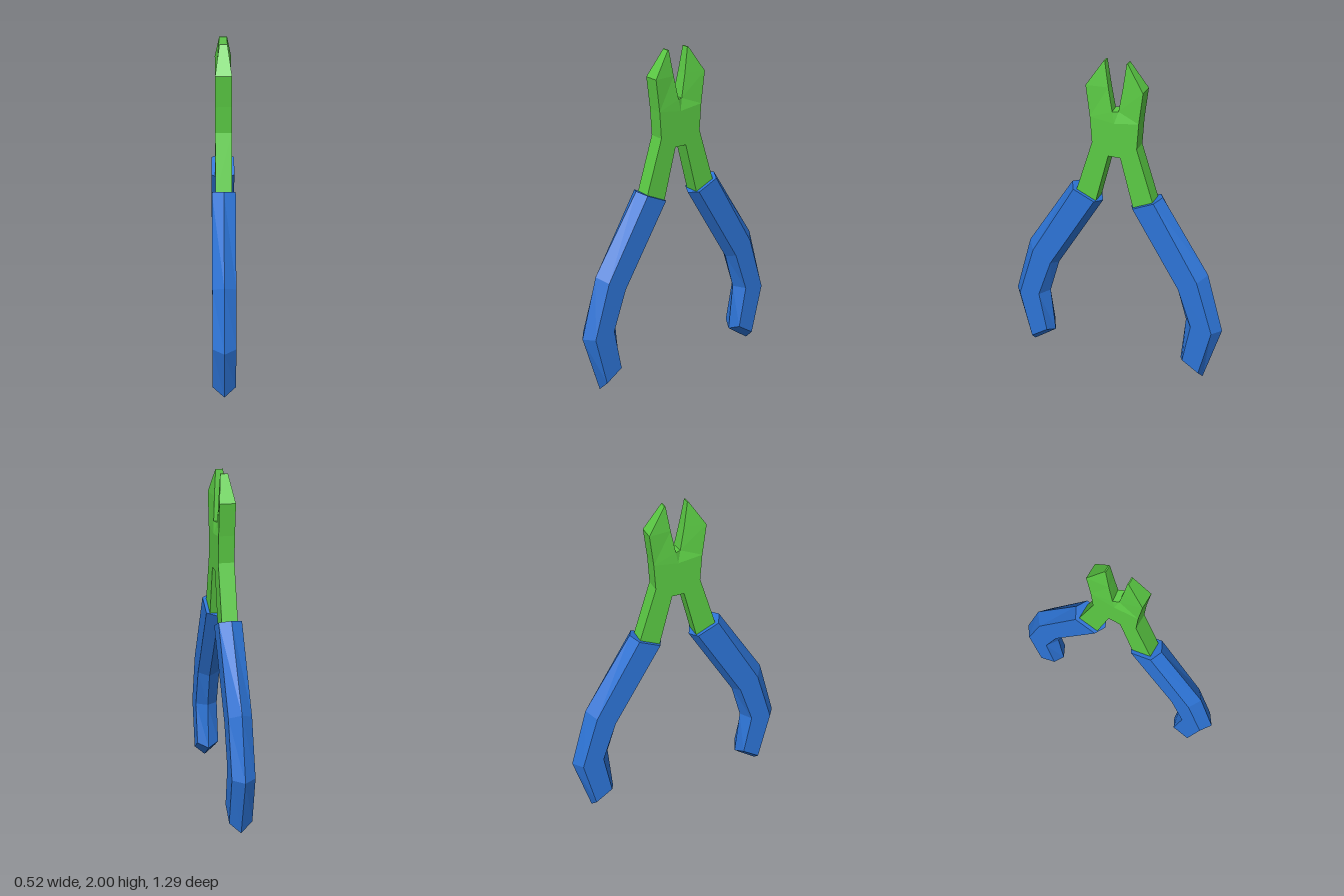
import * as THREE from 'three';
import { ConvexGeometry } from 'three/addons/geometries/ConvexGeometry.js';

// Skin a list of equal-length vertex rings, closing both ends with fans.
function loft(rings) {
  const n = rings[0].length;
  const tris = [];
  for (let r = 0; r < rings.length - 1; r++) {
    for (let i = 0; i < n; i++) {
      const j = (i + 1) % n;
      const a = rings[r][i], b = rings[r][j], c = rings[r + 1][j], d = rings[r + 1][i];
      tris.push([a, b, c], [a, c, d]);
    }
  }
  const first = rings[0], last = rings[rings.length - 1];
  for (let i = 1; i < n - 1; i++) {
    tris.push([first[0], first[i + 1], first[i]], [last[0], last[i], last[i + 1]]);
  }
  // Turn the faces outward if the enclosed volume is negative
  let volume = 0;
  for (const [a, b, c] of tris) {
    volume += new THREE.Vector3(...a).dot(new THREE.Vector3(...b).cross(new THREE.Vector3(...c)));
  }
  if (volume < 0) tris.forEach((t) => t.reverse());
  const geometry = new THREE.BufferGeometry();
  geometry.setAttribute('position', new THREE.Float32BufferAttribute(tris.flat(2), 3));
  geometry.computeVertexNormals();
  return geometry;
}

export function createModel() {
  const green = new THREE.MeshStandardMaterial({ color: 0x5bcb44 });
  green.name = 'green metal';
  const blue = new THREE.MeshStandardMaterial({ color: 0x2d74d6 });
  blue.name = 'blue grip';

  const pliers = new THREE.Group();
  pliers.name = 'pliers';
  const add = (name, geometry, material, turn = 0) => {
    const mesh = new THREE.Mesh(geometry, material);
    mesh.name = name;
    mesh.rotation.y = turn;
    pliers.add(mesh);
  };

  // Grip: hexagonal sections, each as outer ridge, outer edge, inner edge, inner ridge (z, y)
  const W = 0.068;
  const grip = loft([
    [[0.284, 1.2], [0.25, 1.184], [0.121, 1.125], [0.089, 1.11]],
    [[0.575, 0.74], [0.527, 0.708], [0.413, 0.64], [0.384, 0.62]],
    [[0.676, 0.37], [0.628, 0.375], [0.498, 0.395], [0.447, 0.4]],
    [[0.566, 0.005], [0.556, 0.07], [0.451, 0.14], [0.42, 0.11]],
  ].map(([o, of, nf, n]) => [
    [0, o[1], o[0]], [W, of[1], of[0]], [W, nf[1], nf[0]],
    [0, n[1], n[0]], [-W, nf[1], nf[0]], [-W, of[1], of[0]],
  ]));

  // Jaw: four-cornered sections, as outer +x, inner +x, inner -x, outer -x
  const T = 0.047;
  const jaw = loft([
    [[T, 1.66, 0.148], [T, 1.64, 0], [-T, 1.64, 0], [-T, 1.66, 0.148]],
    [[T, 1.66, 0.148], [0.044, 1.71, 0.013], [-0.03, 1.71, 0.02], [-T, 1.66, 0.148]],
    [[T, 1.85, 0.172], [0.034, 1.85, 0.04], [-0.027, 1.85, 0.044], [-T, 1.85, 0.172]],
    [[0.022, 2, 0.072], [0.022, 2, 0.065], [-0.022, 2, 0.065], [-0.022, 2, 0.072]],
  ]);

  for (const [side, turn] of [['front', 0], ['back', Math.PI]]) {
    add(side + 'Grip', grip, blue, turn);
    add(side + 'Jaw', jaw, green, turn);
  }

  // Pivot body with the two shanks that enter the grips
  const half = [[0.037, 1.43], [0.12, 1.11], [0.243, 1.16], [0.137, 1.5], [0.148, 1.66]];
  const outline = [
    ...half, [0, 1.64],
    ...half.slice().reverse().map(([z, y]) => [-z, y]),
  ].map((p) => new THREE.Vector2(...p));
  const body = new THREE.ExtrudeGeometry(new THREE.Shape(outline), { depth: 2 * T, bevelEnabled: false });
  body.translate(0, 0, -T).rotateY(-Math.PI / 2);
  add('pivotBody', body, green);

  // Floor of the throat between the jaws
  const floor = [];
  for (const s of [1, -1]) {
    floor.push(
      new THREE.Vector3(s * T, 1.64, 0),
      new THREE.Vector3(s * 0.044, 1.71, s * 0.013),
      new THREE.Vector3(s * -0.03, 1.71, s * 0.02),
    );
  }
  add('throatFloor', new ConvexGeometry(floor), green);

  // The tool stands turned a little about the vertical
  pliers.rotation.y = -Math.PI / 10;
  const model = new THREE.Group();
  model.name = 'pliersModel';
  model.add(pliers);
  return model;
}
